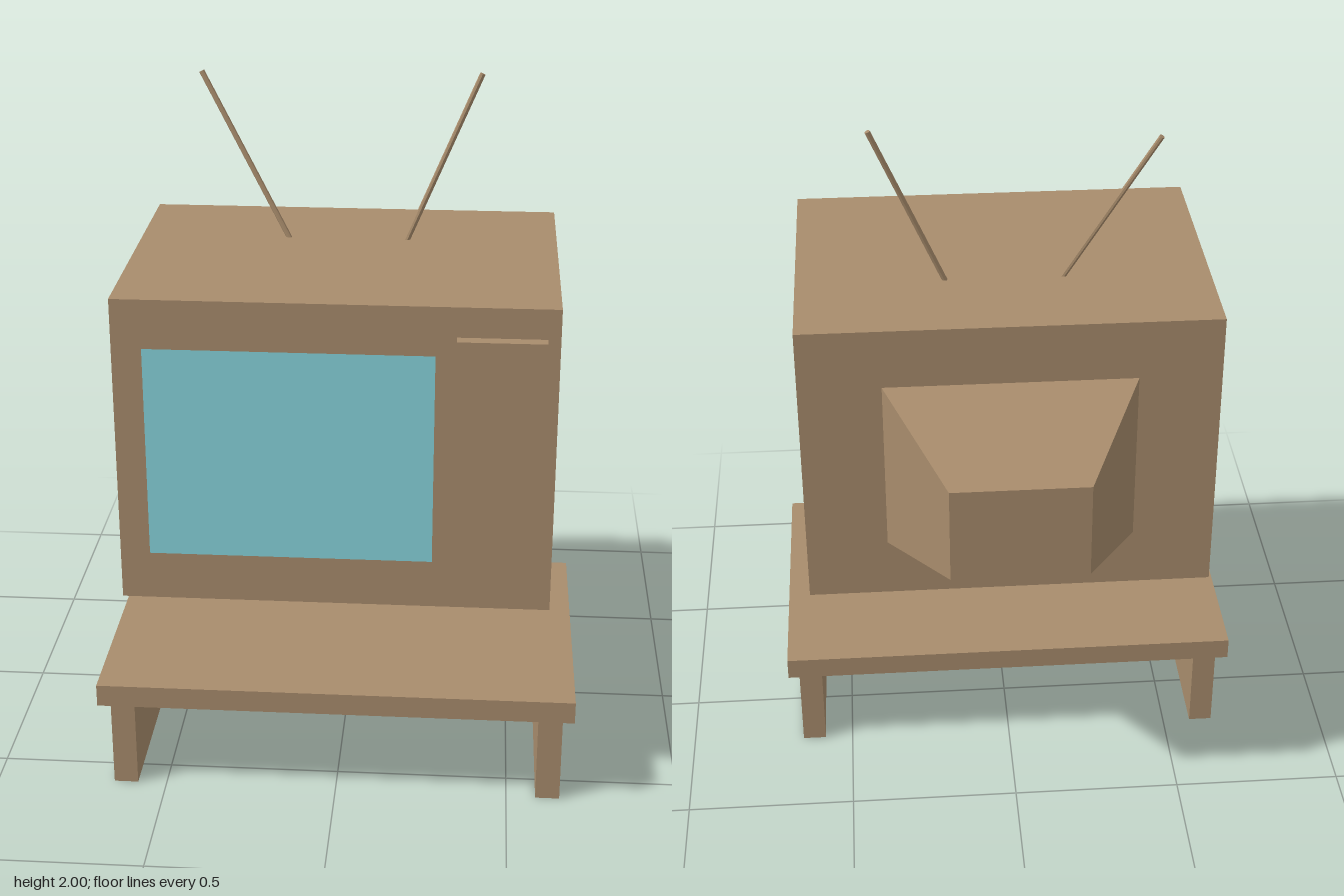
import * as THREE from 'three';

const wood = new THREE.MeshStandardMaterial({ color: 0xa88c6c, flatShading: true });
const glass = new THREE.MeshStandardMaterial({ color: 0x88d4dc, side: THREE.DoubleSide });

export function createModel() {
  const group = new THREE.Group();

  const add = (name, geometry, material = wood) => {
    const mesh = new THREE.Mesh(geometry, material);
    mesh.name = name;
    group.add(mesh);
    return mesh;
  };

  // Box given by its limits on each axis
  const box = (name, [x0, x1], [y0, y1], [z0, z1]) =>
    add(name, new THREE.BoxGeometry(x1 - x0, y1 - y0, z1 - z0))
      .position.set((x0 + x1) / 2, (y0 + y1) / 2, (z0 + z1) / 2);

  // Cabinet and raised control panel
  box('cabinet', [-0.602, 0.602], [0.622, 1.515], [-0.268, 0.593]);
  box('controlPanel', [0.327, 0.567], [0.71, 1.43], [0.58, 0.628]);

  // Flat screen on the cabinet front
  add('screen', new THREE.PlaneGeometry(0.79, 0.613), glass).position.set(-0.124, 1.069, 0.595);

  // Tube housing: a box whose back face is narrowed
  const housing = new THREE.BoxGeometry(0.728, 0.532, 0.36);
  const p = housing.attributes.position;
  for (let i = 0; i < p.count; i++) {
    if (p.getZ(i) < 0) p.setXY(i, Math.sign(p.getX(i)) * 0.195, Math.sign(p.getY(i)) * 0.145);
  }
  housing.computeVertexNormals();
  add('tubeHousing', housing).position.set(0, 1.069, -0.448);

  // Antenna rods, leaning apart and slightly back
  const rod = (name, from, to) => {
    const a = new THREE.Vector3(...from);
    const dir = new THREE.Vector3(...to).sub(a);
    const mesh = add(name, new THREE.CylinderGeometry(0.008, 0.008, dir.length(), 8));
    mesh.position.copy(a).addScaledVector(dir, 0.5);
    mesh.quaternion.setFromUnitVectors(new THREE.Vector3(0, 1, 0), dir.normalize());
  };
  rod('rightAntenna', [-0.172, 1.51, 0.026], [-0.43, 1.98, -0.062]);
  rod('leftAntenna', [0.168, 1.51, 0.026], [0.376, 1.997, -0.01]);

  // Low stand: top board on two slab legs
  box('standTop', [-0.687, 0.687], [0.278, 0.344], [-0.232, 0.628]);
  box('rightStandLeg', [-0.655, -0.585], [0, 0.278], [-0.198, 0.594]);
  box('leftStandLeg', [0.585, 0.655], [0, 0.278], [-0.198, 0.594]);

  return group;
}
